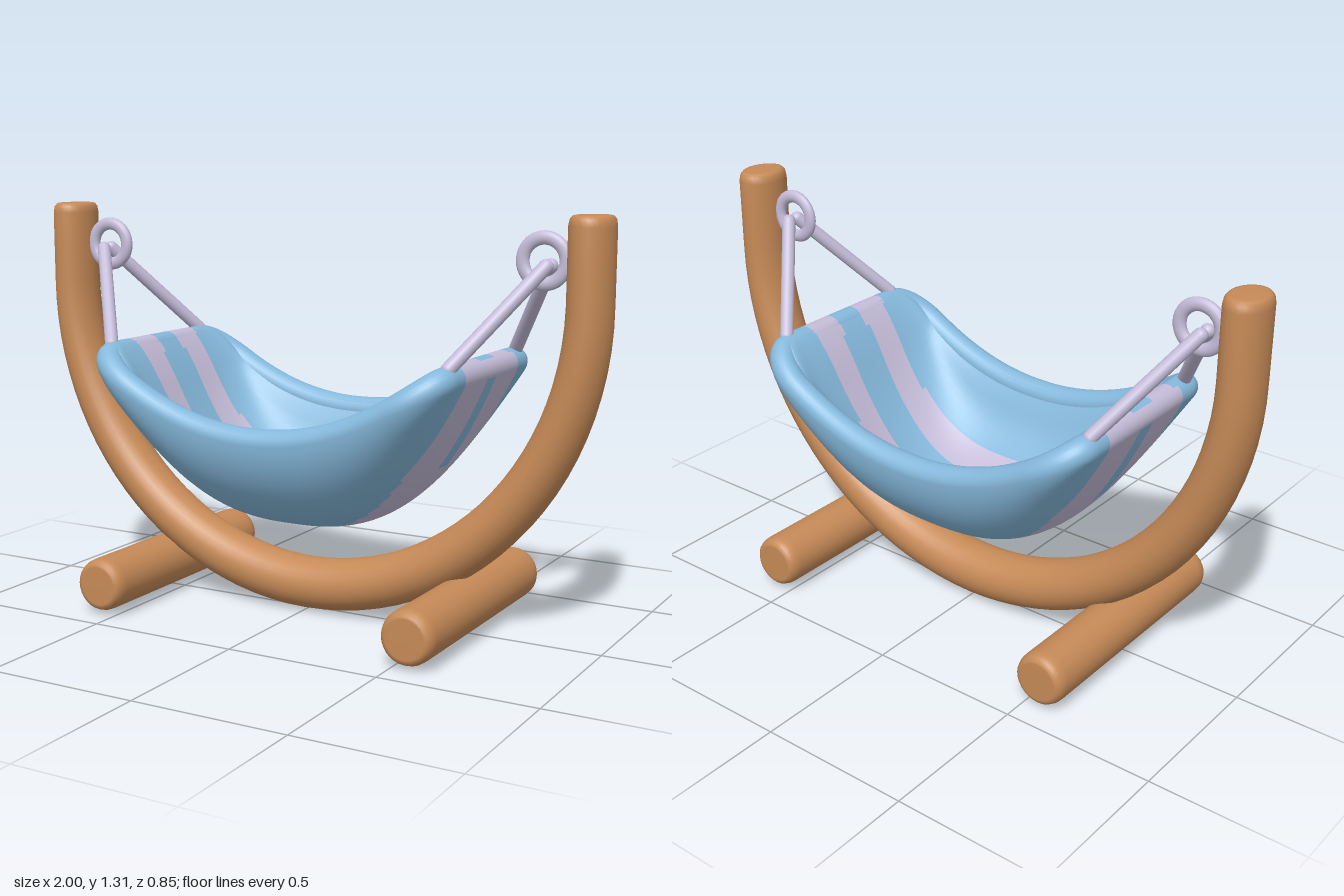
import * as THREE from 'three';
import { mergeVertices } from 'three/addons/utils/BufferGeometryUtils.js';

const material = (name, color) => {
  const m = new THREE.MeshStandardMaterial({ color });
  m.name = name;
  return m;
};

// Quad grid from a point function; faces point along (column x row)
function grid(rows, cols, point, flip = false) {
  const pos = [], index = [];
  for (let i = 0; i < rows; i++)
    for (let j = 0; j < cols; j++) pos.push(...point(i, j).toArray());
  for (let i = 0; i < rows - 1; i++)
    for (let j = 0; j < cols - 1; j++) {
      const a = i * cols + j, b = a + 1, c = a + cols, d = c + 1;
      index.push(...(flip ? [a, c, b, b, c, d] : [a, b, c, b, d, c]));
    }
  let g = new THREE.BufferGeometry();
  g.setAttribute('position', new THREE.Float32BufferAttribute(pos, 3));
  g.setIndex(index);
  g = mergeVertices(g, 1e-5);
  g.computeVertexNormals();
  return g;
}

// Sort quads into two material groups by a test on the quad centre
function paint(g, isStripe) {
  const p = g.attributes.position, idx = g.index.array, sets = [[], []];
  for (let k = 0; k < idx.length; k += 6) {
    const quad = Array.from(idx.slice(k, k + 6));
    const mid = (axis) => quad.reduce((s, v) => s + p.getComponent(v, axis), 0) / 6;
    sets[isStripe(Math.abs(mid(0)), Math.abs(mid(2))) ? 1 : 0].push(...quad);
  }
  g.setIndex([...sets[0], ...sets[1]]);
  g.addGroup(0, sets[0].length, 0);
  g.addGroup(sets[0].length, sets[1].length, 1);
  return g;
}

// Curved wooden frame: oval section swept down, round and up again
function frameGeometry() {
  const stations = [];
  const end = [[1.312, 0], [1.312, 0.7], [1.31, 0.84], [1.3, 0.95], [1.28, 1], [1.16, 1]];
  for (const [y, s] of end) stations.push([-0.932, y, 1, 0, s]);
  for (let k = 0; k <= 48; k++) {
    const a = Math.PI * (1 + k / 48), c = Math.cos(a), s = Math.sin(a);
    const n = new THREE.Vector2(-c / 0.932, -s / 0.96).normalize();
    stations.push([0.932 * c, 1.05 + 0.96 * s, n.x, n.y, 1]);
  }
  for (const [y, s] of end.reverse()) stations.push([0.932, y, -1, 0, s]);
  const sides = 28;
  return grid(stations.length, sides + 1, (i, j) => {
    const [x, y, nx, ny, s] = stations[i];
    const phi = ((j % sides) / sides) * Math.PI * 2;
    const r = s * (0.068 + 0.017 * Math.abs(ny)) * Math.cos(phi);
    return new THREE.Vector3(x + nx * r, y + ny * r, s * 0.089 * Math.sin(phi));
  });
}

// Middle surface of the padded cloth: u runs end to end, t is the angle across
const HALF = 0.59, WIDE = 0.345, THICK = 0.044;
function cloth(u, t) {
  const x = HALF * Math.sin(u * Math.PI / 2), f = Math.abs(x) / HALF;
  const corner = Math.min(1, Math.max(0, (Math.abs(x) - 0.47) / (HALF - 0.47)));
  const w = 0.255 + 0.09 * Math.sqrt(1 - corner * corner);
  const low = 0.34 + 0.495 * f ** 2.8, rim = 0.615 + 0.22 * f ** 2.1;
  const q = WIDE * Math.abs(Math.sin(t));
  const z = q < 0.2 ? q : 0.2 + (q - 0.2) * (w - 0.2) / (WIDE - 0.2);
  const sag = Math.max(0, Math.cos(t)) ** 1.12;
  return new THREE.Vector3(x, rim - (rim - low) * sag, Math.sign(t) * z);
}
function clothNormal(u, t) {
  const cu = THREE.MathUtils.clamp(u, -0.94, 0.94), ct = THREE.MathUtils.clamp(t, -1.5, 1.5), e = 0.01;
  const du = cloth(cu + e, ct).sub(cloth(cu - e, ct));
  const dt = cloth(cu, ct + e).sub(cloth(cu, ct - e));
  return dt.cross(du).normalize();
}
const outside = (u, t) => cloth(u, t).addScaledVector(clothNormal(u, t), -THICK);
// The inside starts on top of the rim and slopes softly down to the floor
function inside(u, t) {
  const n = clothNormal(u, t);
  const away = THREE.MathUtils.smoothstep(Math.cos(t), 0, 0.5) * THREE.MathUtils.smoothstep(1 - Math.abs(u), 0, 0.35);
  const depth = THICK * (1 + 1.2 * (1 - n.y) * away);
  n.y += 0.9;
  return cloth(u, t).add(n.setLength(depth));
}

function createHammock(mats) {
  const group = new THREE.Group();
  group.name = 'hammock';
  // Columns line up with the stripe edges
  const half = [];
  for (let k = 1; k <= 12; k++) half.push(Math.asin(k * 0.2 / 12 / WIDE));
  const last = half[11];
  for (let k = 1; k <= 10; k++) half.push(last + (Math.PI / 2 - last) * k / 10);
  const ts = [...half.map((t) => -t).reverse(), 0, ...half];
  const rows = 73, u = (i) => (2 * i) / (rows - 1) - 1;

  const add = (name, g, test) => {
    const m = new THREE.Mesh(paint(g, test), mats);
    m.name = name;
    group.add(m);
  };
  add('clothInside', grid(rows, ts.length, (i, j) => inside(u(i), ts[j])),
    (x, z) => z > 0.058 && z < 0.166);
  // Outer stripes join and taper away towards the bottom
  add('clothOutside', grid(rows, ts.length, (i, j) => outside(u(i), ts[j]), true), (x, z) => {
    const limit = x < 0.16 ? 0 : THREE.MathUtils.mapLinear(Math.min(x, 0.42), 0.16, 0.42, 0.1, 0.205);
    return z < limit && (z > 0.034 || x < 0.47);
  });

  // Padded rim round the edge
  const border = [], q = Math.PI / 2;
  for (let i = 0; i < rows - 1; i++) border.push(cloth(u(i), q));
  for (let j = ts.length - 1; j > 0; j--) border.push(cloth(1, ts[j]));
  for (let i = rows - 1; i > 0; i--) border.push(cloth(u(i), -q));
  for (let j = 0; j < ts.length - 1; j++) border.push(cloth(-1, ts[j]));
  const curve = new THREE.CatmullRomCurve3(border, true);
  curve.arcLengthDivisions = 1000;
  add('clothRim', new THREE.TubeGeometry(curve, 320, THICK, 24, true),
    (x, z) => x > 0.5 && (x > 0.612 ? z < 0.2 : z > 0.055 && z < 0.175));
  return group;
}

export function createModel() {
  const wood = material('wood', 0xc68a57);
  const blue = material('blueCloth', 0x86b9dc);
  const lilac = material('lilac', 0xc5bdd9);
  const model = new THREE.Group();
  model.name = 'hammockChair';
  const add = (name, g, mat) => {
    const m = new THREE.Mesh(g, mat);
    m.name = name;
    model.add(m);
    return m;
  };

  add('curvedFrame', frameGeometry(), wood);
  model.add(createHammock([blue, lilac]));

  // Log foot with softened ends
  const profile = [[0, 0.425], [0.062, 0.425], [0.07, 0.424], [0.079, 0.416], [0.085, 0.4], [0.086, 0.38]];
  const points = [
    ...profile.map(([r, y]) => new THREE.Vector2(r, -y)),
    ...profile.map(([r, y]) => new THREE.Vector2(r, y)).reverse(),
  ];
  const foot = new THREE.LatheGeometry(points, 28).rotateX(Math.PI / 2);
  const ring = new THREE.TorusGeometry(0.068, 0.021, 14, 36).scale(1, 1, 0.75);
  const up = new THREE.Vector3(0, 1, 0);

  for (const s of [1, -1]) {
    const side = s > 0 ? 'left' : 'right';
    add(side + 'Foot', foot, wood).position.set(s * 0.551, 0.102, 0);
    add(side + 'Ring', ring, lilac).position.set(s * 0.787, 1.175, 0);
    // Two ropes from the ring to the corners of the cloth
    for (const f of [1, -1]) {
      const a = new THREE.Vector3(s * 0.6, 0.872, f * 0.255);
      const b = new THREE.Vector3(s * 0.8, 1.16, f * 0.02);
      const rope = add(side + (f > 0 ? 'Front' : 'Back') + 'Rope',
        new THREE.CapsuleGeometry(0.022, a.distanceTo(b), 6, 14), lilac);
      rope.position.copy(a).add(b).multiplyScalar(0.5);
      rope.quaternion.setFromUnitVectors(up, b.clone().sub(a).normalize());
    }
  }
  return model;
}
